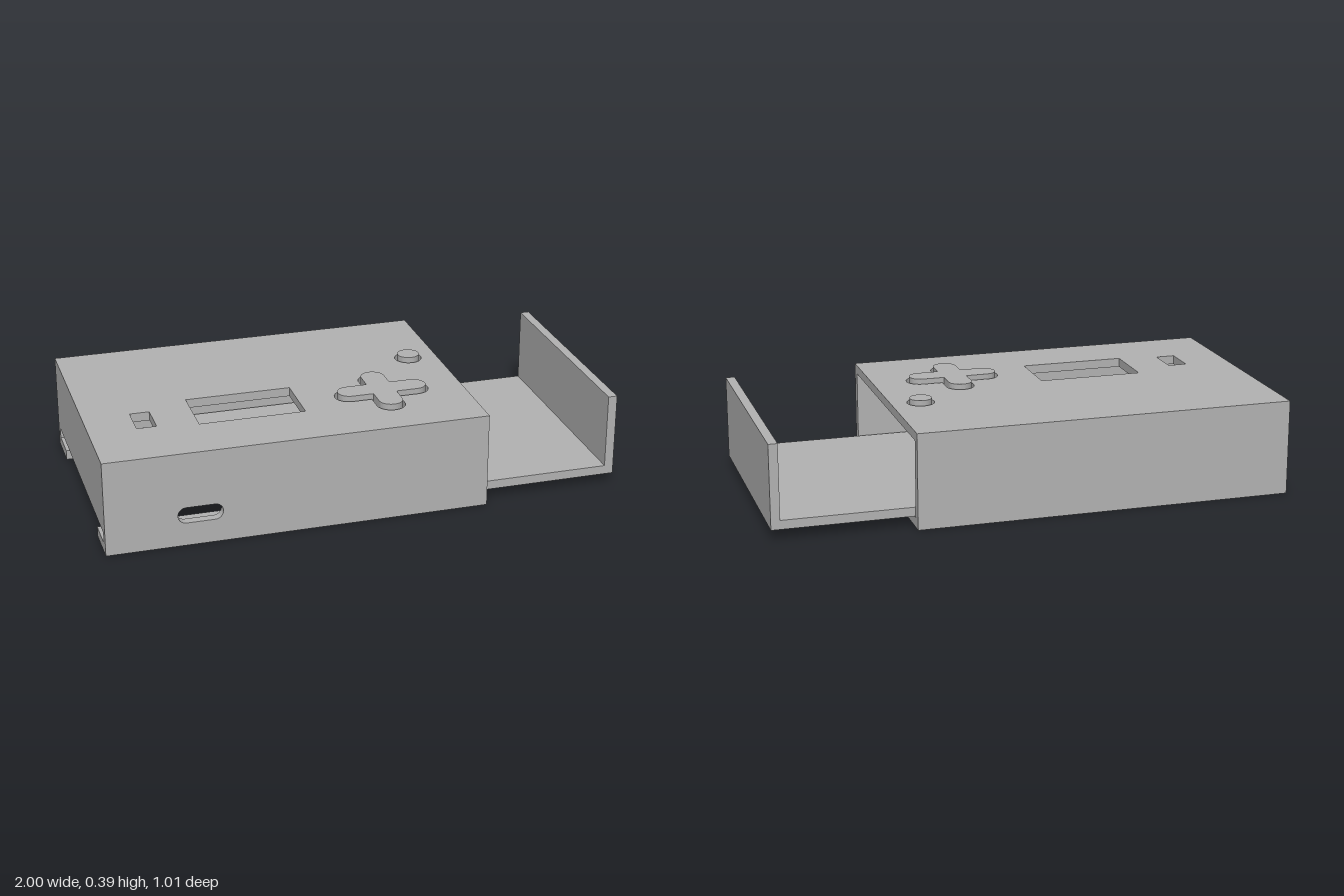
import * as THREE from 'three';
import { toCreasedNormals } from 'three/addons/utils/BufferGeometryUtils.js';

// Adds a rectangle to a path
function rect(path, x0, y0, x1, y1) {
  path.moveTo(x0, y0);
  path.lineTo(x1, y0);
  path.lineTo(x1, y1);
  path.lineTo(x0, y1);
  path.closePath();
  return path;
}

// Adds a round-ended cross with half lengths a (x) and b (y) and half arm width w
function cross(path, cx, cy, a, b, w) {
  const h = Math.PI / 2;
  path.moveTo(cx + a - w, cy - w);
  path.absarc(cx + a - w, cy, w, -h, h, false);
  path.lineTo(cx + w, cy + w);
  path.absarc(cx, cy + b - w, w, 0, 2 * h, false);
  path.lineTo(cx - w, cy + w);
  path.absarc(cx - a + w, cy, w, h, 3 * h, false);
  path.lineTo(cx - w, cy - w);
  path.absarc(cx, cy - b + w, w, 2 * h, 4 * h, false);
  path.lineTo(cx + w, cy - w);
  path.closePath();
  return path;
}

function circle(path, cx, cy, r) {
  path.absarc(cx, cy, r, 0, Math.PI * 2, false);
  return path;
}

function slot(path, x0, x1, y, r) {
  path.moveTo(x0 + r, y - r);
  path.absarc(x1 - r, y, r, -Math.PI / 2, Math.PI / 2, false);
  path.absarc(x0 + r, y, r, Math.PI / 2, Math.PI * 1.5, false);
  path.closePath();
  return path;
}

export function createModel() {
  const model = new THREE.Group();
  const grey = new THREE.MeshStandardMaterial({ color: 0xb2b2b2 });
  grey.name = 'grey plastic';

  const add = (parent, name, geometry) => {
    const mesh = new THREE.Mesh(geometry, grey);
    mesh.name = name;
    parent.add(mesh);
    return mesh;
  };
  const box = (parent, name, x0, x1, y0, y1, z0, z1) => {
    const mesh = add(parent, name, new THREE.BoxGeometry(x1 - x0, y1 - y0, z1 - z0));
    mesh.position.set((x0 + x1) / 2, (y0 + y1) / 2, (z0 + z1) / 2);
  };
  const extrude = (shape, depth) => toCreasedNormals(
    new THREE.ExtrudeGeometry(shape, { depth, bevelEnabled: false, curveSegments: 16 }), 0.6);
  // Plate drawn in x and z, extruded down from its top
  const plate = (parent, name, shape, top, depth) => {
    const mesh = add(parent, name, extrude(shape, depth).rotateX(Math.PI / 2));
    mesh.position.y = top;
  };

  const L = -1, R = 0.465, H = 0.37, W = 0.505, wall = 0.035, inner = W - wall;

  // Hollow housing, open at the right end and along the underside
  const housing = new THREE.Group();
  housing.name = 'housing';
  model.add(housing);

  const roof = rect(new THREE.Shape(), L, -W, R, W);
  roof.holes.push(
    rect(new THREE.Path(), -0.82, 0.11, -0.745, 0.245),
    rect(new THREE.Path(), -0.59, 0.04, -0.182, 0.27),
    cross(new THREE.Path(), 0.145, 0.18, 0.186, 0.173, 0.055),
    circle(new THREE.Path(), 0.35, -0.115, 0.053),
  );
  plate(housing, 'roof', roof, H, wall);

  const front = rect(new THREE.Shape(), L, 0, R, H - wall);
  front.holes.push(slot(new THREE.Path(), -0.73, -0.56, 0.122, 0.031));
  add(housing, 'frontWall', extrude(front, wall)).position.z = inner;
  box(housing, 'backWall', L, R, 0, H - wall, -W, -inner);
  // The end wall stops above the groove the tray slides in
  box(housing, 'endWall', L, L + wall, 0.08, H - wall, -inner, inner);
  for (const [name, s] of [['frontRail', 1], ['backRail', -1]]) {
    const z = [0.34 * s, inner * s].sort((a, b) => a - b);
    box(housing, name, L, R, 0, 0.038, z[0], z[1]);
  }

  // Buttons standing loosely in their holes
  plate(model, 'directionPad', cross(new THREE.Shape(), 0.145, 0.18, 0.175, 0.161, 0.046), 0.388, 0.07);
  plate(model, 'roundButton', circle(new THREE.Shape(), 0.35, -0.115, 0.043), 0.388, 0.07);

  // Sliding tray with an upright end, drawn from the side
  const profile = new THREE.Shape([
    [-0.51, 0.04], [1, 0.04], [1, 0.365], [0.965, 0.365], [0.965, 0.075], [-0.51, 0.075],
  ].map(([x, y]) => new THREE.Vector2(x, y)));
  add(model, 'slidingTray', extrude(profile, 0.92)).position.z = -0.46;

  return model;
}
